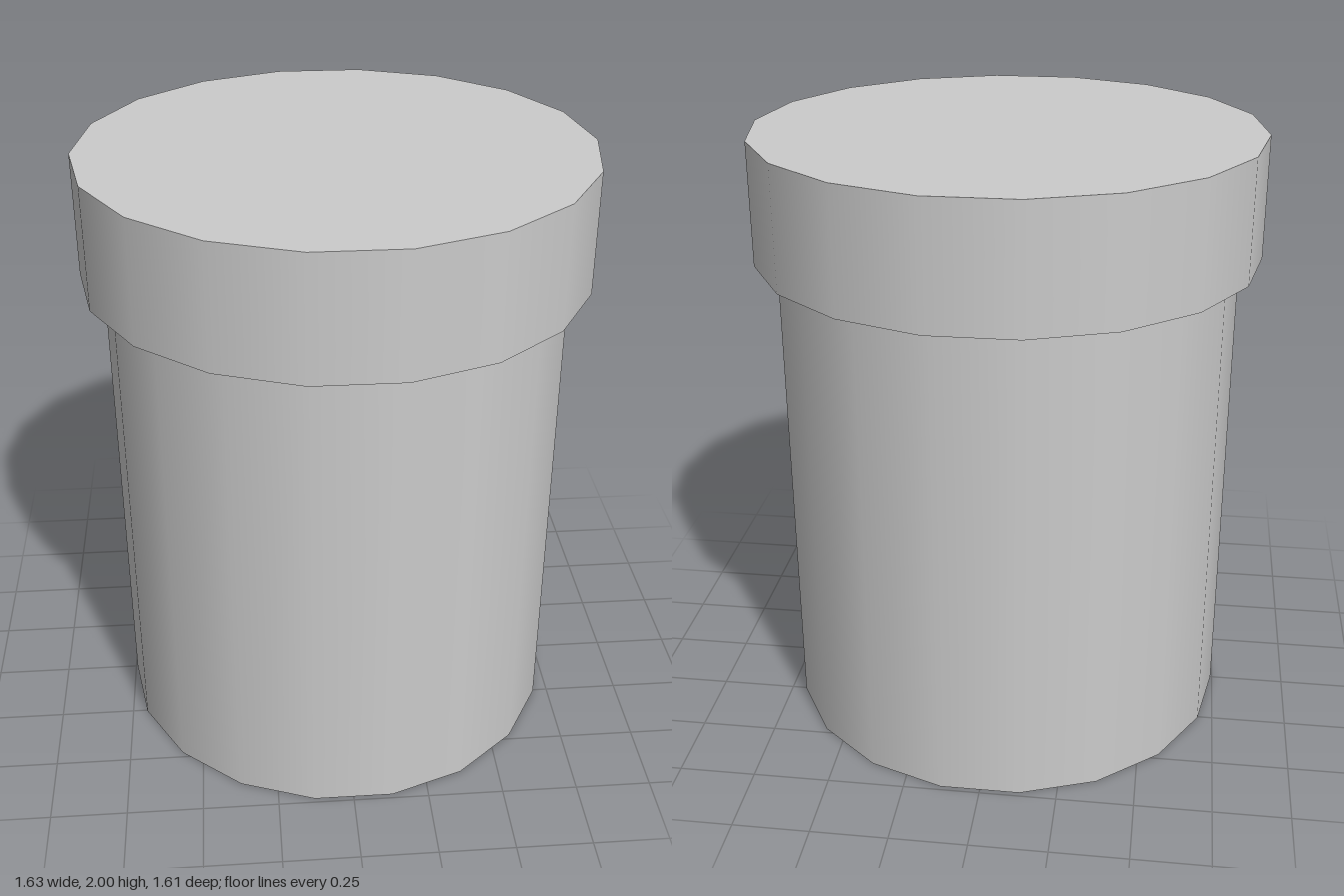
import * as THREE from 'three';

const SIDES = 18;

// Closed, smooth-sided drum with corners on the x axis
function drum(name, radius, bottom, top, material) {
  const geometry = new THREE.CylinderGeometry(radius, radius, top - bottom, SIDES, 1, false, Math.PI / 2);
  const mesh = new THREE.Mesh(geometry, material);
  mesh.name = name;
  mesh.position.y = (bottom + top) / 2;
  return mesh;
}

export function createModel() {
  const model = new THREE.Group();
  model.name = 'liddedContainer';
  const grey = new THREE.MeshStandardMaterial({ color: 0xcccccc });

  // Tall body, with the wider lid floating a hair above it
  model.add(drum('body', 0.745, 0, 1.595, grey));
  model.add(drum('lid', 0.817, 1.603, 2, grey));
  return model;
}
